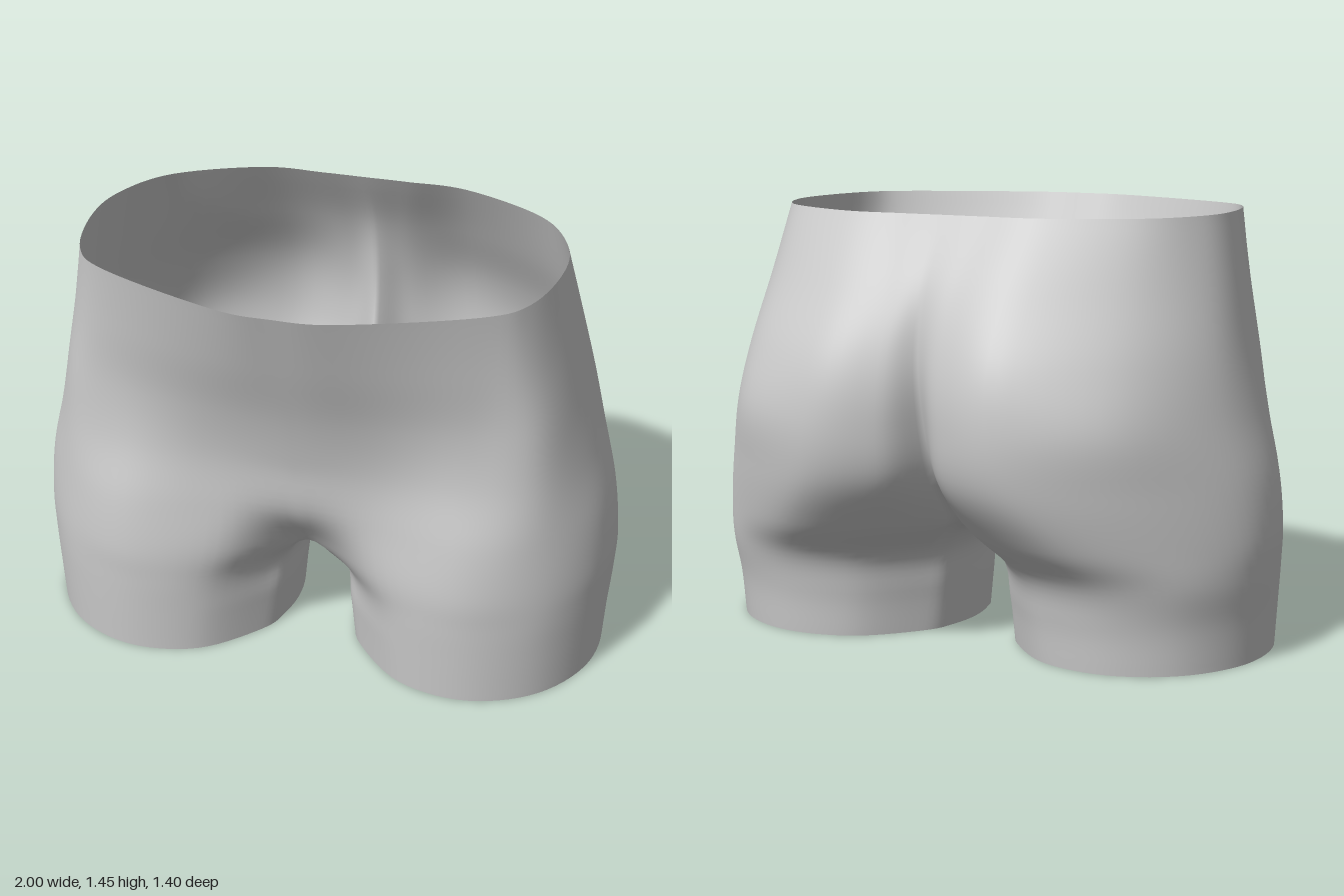
import * as THREE from 'three';
import { mergeVertices } from 'three/addons/utils/BufferGeometryUtils.js';

const V = (x, y, z) => new THREE.Vector3(x, y, z);
const mirror = p => V(-p.x, p.y, p.z);
const extend = (a, b) => a.clone().multiplyScalar(2).sub(b);

// Uniform Catmull-Rom through b and c
function spline(a, b, c, d, t) {
  const f = k => 0.5 * (2 * b[k] + (c[k] - a[k]) * t + (2 * a[k] - 5 * b[k] + 4 * c[k] - d[k]) * t * t
    + (3 * b[k] - a[k] - 3 * c[k] + d[k]) * t * t * t);
  return V(Math.max(0, f('x')), f('y'), f('z'));
}

// Samples an open run of points; first and last are guides outside the run
function sample(pts, steps) {
  const out = [];
  for (let i = 1; i < pts.length - 2; i++)
    for (let s = 0; s < steps; s++) out.push(spline(pts[i - 1], pts[i], pts[i + 1], pts[i + 2], s / steps));
  out.push(pts[pts.length - 2].clone());
  return out;
}

// Oval thigh section: 10 outer points from front to back, then 3 inner ones
function thigh(y, xIn, xOut, zFront, zBack, sweep) {
  const pts = [];
  for (let i = 0; i < 13; i++) {
    const deg = i <= 9 ? sweep * (1 - i / 4.5) : -sweep - (i - 9) * (180 - sweep) / 2;
    const a = deg * Math.PI / 180;
    pts.push(V((xIn + xOut) / 2 + Math.cos(a) * (xOut - xIn) / 2, y,
      (zFront + zBack) / 2 + Math.sin(a) * (zFront - zBack) / 2));
  }
  return pts;
}

// Half section of the hips: x, z pairs from front centre round to back centre
function hip(y, ...xz) {
  const pts = [];
  for (let i = 0; i < xz.length; i += 2) pts.push(V(xz[i], y, xz[i + 1]));
  return pts;
}

const thighs = [
  thigh(0, 0.112, 0.975, 0.5, -0.42, 148),
  thigh(0.15, 0.097, 0.985, 0.512, -0.44, 150),
  thigh(0.29, 0.076, 0.997, 0.522, -0.48, 152),
];
const hips = [
  hip(0.42, 0, 0.31, 0.28, 0.465, 0.58, 0.525, 0.828, 0.408, 0.981, 0.165, 0.977, -0.14, 0.79, -0.42, 0.5, -0.575, 0.22, -0.51, 0, -0.28),
  hip(0.6, 0, 0.44, 0.26, 0.46, 0.58, 0.508, 0.82, 0.398, 0.965, 0.155, 0.95, -0.16, 0.73, -0.49, 0.39, -0.668, 0.13, -0.61, 0, -0.45),
  hip(0.8, 0, 0.475, 0.27, 0.465, 0.57, 0.47, 0.805, 0.388, 0.92, 0.14, 0.9, -0.18, 0.69, -0.53, 0.35, -0.697, 0.115, -0.642, 0, -0.53),
  hip(1.0, 0, 0.528, 0.25, 0.51, 0.58, 0.465, 0.79, 0.385, 0.875, 0.14, 0.86, -0.16, 0.67, -0.47, 0.34, -0.66, 0.11, -0.622, 0, -0.56),
  hip(1.22, 0, 0.61, 0.22, 0.592, 0.59, 0.49, 0.76, 0.385, 0.833, 0.14, 0.815, -0.11, 0.65, -0.36, 0.34, -0.54, 0.11, -0.54, 0, -0.525),
  hip(1.452, 0, 0.697, 0.2, 0.675, 0.6, 0.515, 0.735, 0.385, 0.79, 0.14, 0.765, -0.06, 0.64, -0.25, 0.36, -0.39, 0.15, -0.4, 0, -0.4),
];

const U = 7, W = 6;

// Turns columns of points into triangles
function addGrid(columns, positions, index) {
  const rows = columns[0].length, base = positions.length / 3;
  for (const col of columns) for (const p of col) positions.push(p.x, p.y, p.z);
  for (let i = 0; i < columns.length - 1; i++)
    for (let j = 0; j < rows - 1; j++) {
      const a = base + i * rows + j, b = a + rows;
      index.push(a, b, b + 1, a, b + 1, a + 1);
    }
}

// Column up the thigh that meets the centre plane level, as an arch
const archColumn = c => sample([extend(c[0], c[1]), ...c, mirror(c[2])], W);

function bodyGeometry() {
  // Outer shell: thigh fronts, sides and backs running up to the waist
  const outerRows = [
    ...thighs.map(p => sample([p[12], ...p.slice(0, 11)], U)),
    ...hips.map(p => sample([mirror(p[1]), ...p, extend(p[9], p[8])], U)),
  ];
  const last = outerRows.length - 1, end = outerRows[0].length - 1;
  const outer = outerRows[0].map((_, i) => {
    const c = outerRows.map(r => r[i]);
    const top = extend(c[last], c[last - 1]);
    if (i > 0 && i < end) return sample([extend(c[0], c[1]), ...c, top], W);
    // Centre columns turn from the arch into the front or back centre line
    const upper = c.slice(3);
    return [...archColumn(c.slice(0, 4)), ...sample([extend(c[3], c[4]), ...upper, top], W).slice(1)];
  });

  // Inner thigh wall, rising to the arch between the legs
  const low = hips[0], next = hips[1];
  const innerRows = [
    ...thighs.map(p => sample([p[8], ...p.slice(9), p[0], p[1]], U)),
    sample([next[9], low[9], V(0, 0.38, -0.14), V(0, 0.37, 0), V(0, 0.378, 0.16), low[0], next[0]], U),
  ];
  const inner = innerRows[0].map((_, i) => archColumn(innerRows.map(r => r[i])));

  const positions = [], index = [];
  addGrid(outer, positions, index);
  addGrid(inner, positions, index);

  // Mirror the half to the other side, with reversed corners
  const n = positions.length / 3, m = index.length;
  for (let i = 0; i < n; i++) positions.push(-positions[3 * i], positions[3 * i + 1], positions[3 * i + 2]);
  for (let i = 0; i < m; i += 3) index.push(index[i] + n, index[i + 2] + n, index[i + 1] + n);

  const g = new THREE.BufferGeometry();
  g.setAttribute('position', new THREE.Float32BufferAttribute(positions, 3));
  g.setIndex(index);
  const welded = mergeVertices(g, 1e-4);
  welded.computeVertexNormals();
  return welded;
}

export function createModel() {
  const group = new THREE.Group();
  group.name = 'hipForm';
  const grey = new THREE.MeshStandardMaterial({ color: 0xcccccc, side: THREE.DoubleSide });
  grey.name = 'plain grey';
  const shell = new THREE.Mesh(bodyGeometry(), grey);
  shell.name = 'hipsAndThighsShell';
  group.add(shell);
  return group;
}
